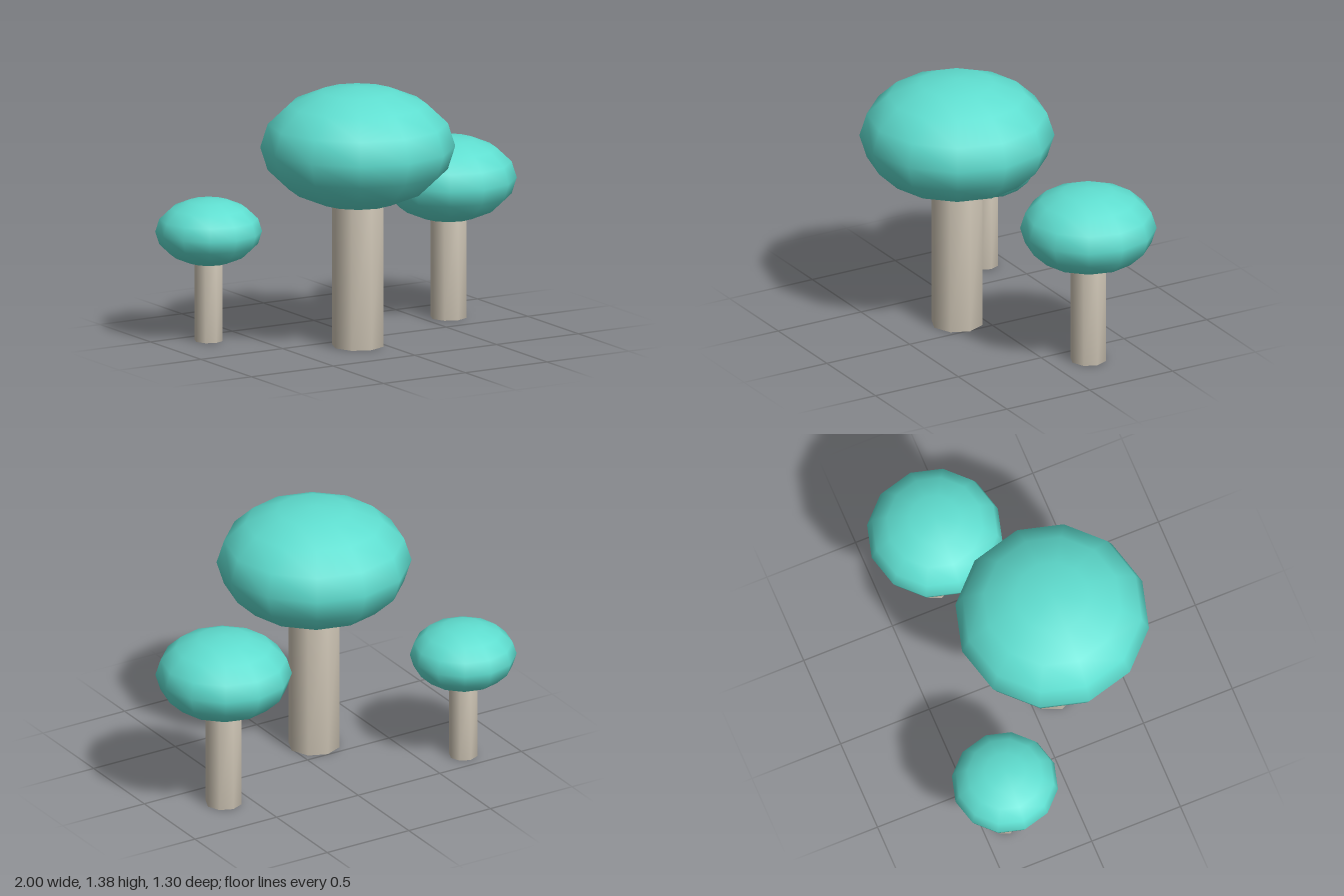
import * as THREE from 'three';
import { mergeVertices } from 'three/addons/utils/BufferGeometryUtils.js';

const crownMaterial = new THREE.MeshStandardMaterial({ color: 0x5fded0 });
const trunkMaterial = new THREE.MeshStandardMaterial({ color: 0xcdc4b4 });

// Share vertices so the shading rolls softly around the trunk's end rims
function soften(geometry) {
  geometry.deleteAttribute('normal');
  geometry.deleteAttribute('uv');
  const merged = mergeVertices(geometry, 1e-4);
  merged.computeVertexNormals();
  return merged;
}

// One full-size tree: eight-sided trunk under a flattened round crown
function makeTree(name, scale, x, z) {
  const tree = new THREE.Group();
  tree.name = name;

  const trunkHeight = 0.82;
  const trunk = new THREE.Mesh(
    soften(new THREE.CylinderGeometry(0.137, 0.137, trunkHeight, 8)), trunkMaterial);
  trunk.name = 'trunk';
  trunk.position.y = trunkHeight / 2;

  const crownGeometry = new THREE.SphereGeometry(0.508, 12, 8);
  crownGeometry.scale(1, 0.63, 1);
  const crown = new THREE.Mesh(crownGeometry, crownMaterial);
  crown.name = 'crown';
  crown.position.y = 1.06;

  tree.add(trunk, crown);
  tree.scale.setScalar(scale);
  tree.position.set(x, 0, z);
  return tree;
}

export function createModel() {
  const model = new THREE.Group();
  model.name = 'treeCluster';
  model.add(
    makeTree('largeTree', 1, -0.127, 0.14),
    makeTree('mediumTree', 0.7, 0.64, -0.203),
    makeTree('smallTree', 0.548, -0.722, -0.374),
  );
  return model;
}
